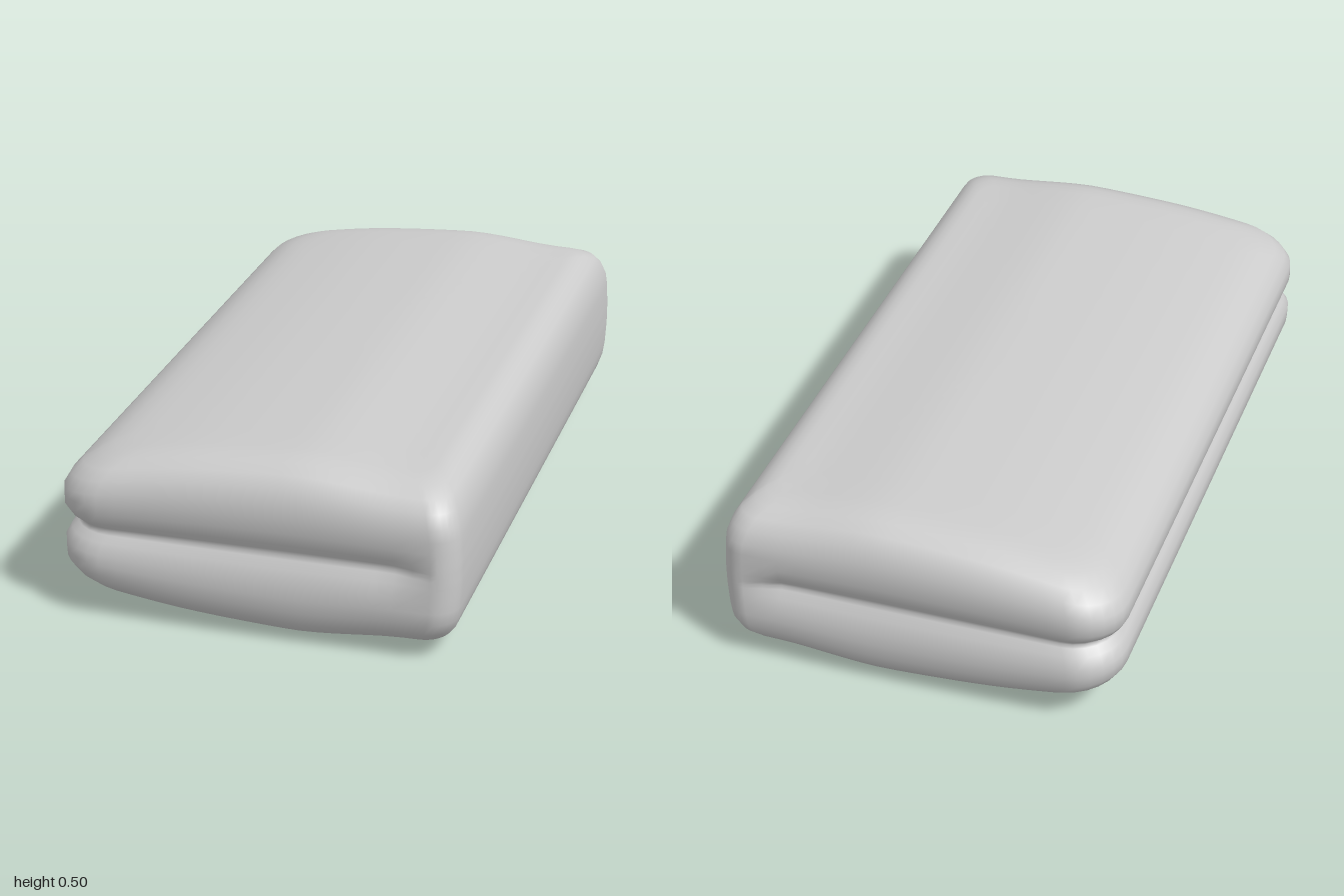
import * as THREE from 'three';

const HALF_X = 0.55, HALF_Z = 1, MID_Y = 0.25;

// thickness of one layer along x: thin at the open edge, fullest past the middle
const crown = new THREE.SplineCurve([
  [-0.56, 0.163], [-0.42, 0.195], [-0.2, 0.23], [0.05, 0.249], [0.17, 0.249],
  [0.35, 0.23], [0.45, 0.226], [0.56, 0.222],
].map(([x, y]) => new THREE.Vector2(x, y))).getPoints(120);

function layerHeight(x) {
  const i = Math.max(1, crown.findIndex((p) => p.x >= x));
  const a = crown[i - 1], b = crown[i];
  return THREE.MathUtils.mapLinear(x, a.x, b.x, a.y, b.y);
}

// edge roll of one layer: [height fraction, inset of open edges, inset of folded edge]
const ROLL = [
  [0, 0.032, 0], [0.05, 0.028, 0], [0.14, 0.013, 0], [0.3, 0, 0.002], [0.45, 0, 0.004],
  [0.6, 0.001, 0.009], [0.76, 0.017, 0.021], [0.88, 0.042, 0.039],
  [0.95, 0.08, 0.064], [0.985, 0.11, 0.085], [1, 0.15, 0.11],
];

// plan outline: rectangle with rounder corners on the open side (-x)
function planOutline() {
  const corners = [[1, 1, 0.07], [-1, 1, 0.13], [-1, -1, 0.13], [1, -1, 0.07]];
  const points = [];
  const at = (k, t) => {
    const [sx, sz, r] = corners[k % 4];
    const angle = (k + t) * Math.PI / 2;
    return new THREE.Vector2(
      sx * (HALF_X - r) + r * Math.cos(angle), sz * (HALF_Z - r) + r * Math.sin(angle));
  };
  for (let k = 0; k < 4; k++) {
    for (let i = 0; i <= 6; i++) points.push(at(k, i / 6));
    const from = at(k, 1), to = at(k + 1, 0);
    for (let i = 1; i < 18; i++) points.push(from.clone().lerp(to, i / 18));
  }
  return points;
}

function foldedCushionGeometry() {
  const outline = planOutline();
  // rings of one layer, from the crease up over the edge and in to the centre
  const half = ROLL.map(([f, open, fold]) => ({ f, open, fold, s: 1 }));
  const last = half[half.length - 1];
  for (let i = 9; i >= 0; i--) half.push({ ...last, s: i / 10 });
  const rings = [
    ...half.slice(1).reverse().map((r) => ({ ...r, sign: -1 })),
    ...half.map((r) => ({ ...r, sign: 1 })),
  ];

  const positions = [], index = [], n = outline.length;
  rings.forEach(({ f, open, fold, s, sign }, row) => {
    outline.forEach((p, i) => {
      // the side crease fades out before it reaches the fold
      const fade = f < 0.3 ? 1 - THREE.MathUtils.smoothstep(p.x, 0.36, 0.5) : 1;
      const x = p.x * s * (1 - (p.x > 0 ? fold : open) / HALF_X);
      const z = p.y * s * (1 - open * fade / HALF_Z);
      positions.push(x, MID_Y + sign * f * layerHeight(x), z);
      if (row < rings.length - 1) {
        const a = row * n + i, b = row * n + (i + 1) % n;
        index.push(a, a + n, b, b, a + n, b + n);
      }
    });
  });

  const geometry = new THREE.BufferGeometry();
  geometry.setAttribute('position', new THREE.Float32BufferAttribute(positions, 3));
  geometry.setIndex(index);
  geometry.computeVertexNormals();
  return geometry;
}

export function createModel() {
  const group = new THREE.Group();
  group.name = 'foldedCushion';
  const material = new THREE.MeshStandardMaterial({ color: 0xcccccc });
  const body = new THREE.Mesh(foldedCushionGeometry(), material);
  body.name = 'foldedBody';
  group.add(body);
  return group;
}
